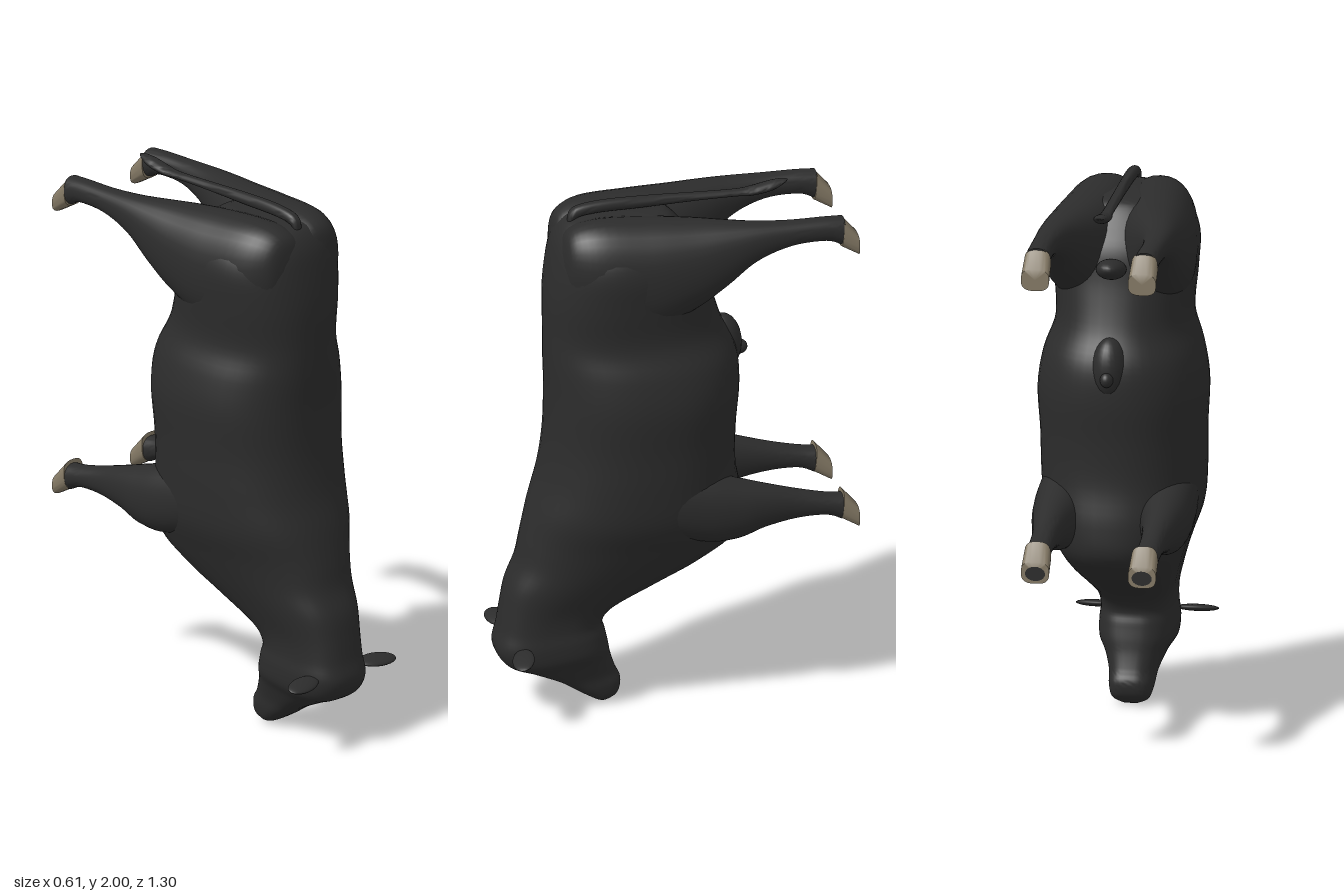
import * as THREE from 'three';
import { toCreasedNormals } from 'three/addons/utils/BufferGeometryUtils.js';

const hide = new THREE.MeshStandardMaterial({ color: 0x2c2c2c });
hide.name = 'black hide';
const horn = new THREE.MeshStandardMaterial({ color: 0x857a66 });
horn.name = 'hoof tan';

// Loft of rounded sections. Each row: [z1, y1, z2, y2, centreX, halfWidth],
// the section spanning the line from point 1 to point 2 and x.
// roundness(y) is 1 for an ellipse and lower for a boxier section.
function loft(rows, roundness, { steps = 5, sides = 32, crease = 0.9 } = {}) {
  const near = (i) => rows[Math.min(rows.length - 1, Math.max(0, i))];
  const rings = [];
  for (let i = 0; i < rows.length - 1; i++) {
    for (let s = 0; s < steps; s++) {
      const t = s / steps;
      rings.push(rows[i].map((b, k) => {
        const a = near(i - 1)[k], c = near(i + 1)[k], d = near(i + 2)[k];
        return b + 0.5 * t * (c - a + t * (2 * a - 5 * b + 4 * c - d + t * (3 * (b - c) + d - a)));
      }));
    }
  }
  rings.push(rows[rows.length - 1]);
  const pos = [], index = [];
  const curve = (v, power) => Math.sign(v) * Math.pow(Math.abs(v), power);
  for (const [z1, y1, z2, y2, cx, hw] of rings) {
    const power = roundness((y1 + y2) / 2);
    for (let j = 0; j < sides; j++) {
      const a = (j / sides) * Math.PI * 2;
      const u = curve(Math.cos(a), power), v = curve(Math.sin(a), power) / 2;
      pos.push(cx + hw * u, (y1 + y2) / 2 + (y1 - y2) * v, (z1 + z2) / 2 + (z1 - z2) * v);
    }
  }
  const n = rings.length;
  for (let i = 0; i < n - 1; i++) {
    for (let j = 0; j < sides; j++) {
      const a = i * sides + j, b = i * sides + (j + 1) % sides;
      index.push(a, b, a + sides, b, b + sides, a + sides);
    }
  }
  // End caps
  for (const [r, flip] of [[0, true], [n - 1, false]]) {
    const [z1, y1, z2, y2, cx] = rings[r];
    const c = pos.length / 3;
    pos.push(cx, (y1 + y2) / 2, (z1 + z2) / 2);
    for (let j = 0; j < sides; j++) {
      const a = r * sides + j, b = r * sides + (j + 1) % sides;
      if (flip) index.push(c, b, a); else index.push(c, a, b);
    }
  }
  const g = new THREE.BufferGeometry();
  g.setAttribute('position', new THREE.Float32BufferAttribute(pos, 3));
  g.setIndex(index);
  return toCreasedNormals(g, crease);
}

// Limb rows are [z, lowY, highY, innerX, outerX, lowZOffset], mirrored by side
const limb = (rows, side) => rows.map(([z, lo, hi, xi, xo, dz = 0]) =>
  [z + dz, lo, z, hi, side * (xi + xo) / 2, (xo - xi) / 2]);

export function createModel() {
  const model = new THREE.Group();
  const add = (name, geometry, material = hide) => {
    const m = new THREE.Mesh(geometry, material);
    m.name = name;
    model.add(m);
    return m;
  };
  const blob = (name, p, s) => {
    const m = add(name, new THREE.SphereGeometry(1, 24, 16));
    m.position.set(...p);
    m.scale.set(...s);
    return m;
  };

  // Trunk, neck and head, from rump to muzzle; the head and neck are boxier
  add('bodyAndHead', loft([
    [0.33, 1.945, 0.04, 1.945, 0, 0.09],
    [0.385, 1.927, 0, 1.927, 0, 0.16],
    [0.425, 1.87, -0.05, 1.87, 0, 0.228],
    [0.447, 1.78, -0.11, 1.78, 0, 0.262],
    [0.463, 1.65, -0.14, 1.65, 0, 0.256],
    [0.463, 1.5, -0.185, 1.5, 0, 0.246],
    [0.46, 1.38, -0.238, 1.38, 0, 0.285],
    [0.455, 1.25, -0.248, 1.25, 0, 0.306],
    [0.46, 1.08, -0.235, 1.08, 0, 0.298],
    [0.482, 0.93, -0.235, 0.93, 0, 0.295],
    [0.52, 0.8, -0.26, 0.78, 0, 0.282],
    [0.55, 0.68, -0.25, 0.66, 0, 0.238],
    [0.57, 0.59, -0.13, 0.57, 0, 0.203],
    [0.607, 0.5, 0.03, 0.49, 0, 0.17],
    [0.625, 0.41, 0.2, 0.405, 0, 0.141],
    [0.638, 0.33, 0.255, 0.345, 0, 0.134],
    [0.652, 0.255, 0.247, 0.295, 0, 0.14],
    [0.615, 0.19, 0.235, 0.24, 0, 0.135],
    [0.53, 0.15, 0.225, 0.19, 0, 0.108],
    [0.42, 0.097, 0.206, 0.13, 0, 0.086],
    [0.34, 0.045, 0.188, 0.09, 0, 0.08],
    [0.28, 0.01, 0.195, 0.045, 0, 0.066],
    [0.25, 0.002, 0.22, 0.018, 0, 0.03],
  ], (y) => 0.72 + 0.15 * THREE.MathUtils.smoothstep(y, 0.35, 0.75), { sides: 48 }));

  for (const side of [1, -1]) {
    const label = side > 0 ? 'left' : 'right';

    // Hind leg with haunch
    add(label + 'HindLeg', loft(limb([
      [0.42, 1.74, 1.85, 0.04, 0.12],
      [0.395, 1.66, 1.925, -0.01, 0.18],
      [0.3, 1.57, 1.961, -0.035, 0.236],
      [0.12, 1.53, 1.958, -0.03, 0.266],
      [-0.04, 1.6, 1.948, 0.015, 0.27],
      [-0.16, 1.69, 1.94, 0.075, 0.264],
      [-0.27, 1.783, 1.932, 0.126, 0.254],
      [-0.4, 1.832, 1.925, 0.153, 0.245],
      [-0.53, 1.836, 1.922, 0.155, 0.242],
      [-0.598, 1.812, 1.918, 0.15, 0.243, 0.01],
    ], side), () => 0.88));

    // Front leg with shoulder
    add(label + 'FrontLeg', loft(limb([
      [0.2, 0.83, 0.96, 0.16, 0.24],
      [0.08, 0.74, 0.985, 0.11, 0.28],
      [-0.08, 0.685, 0.95, 0.1, 0.291],
      [-0.2, 0.685, 0.913, 0.11, 0.284],
      [-0.3, 0.717, 0.882, 0.135, 0.267],
      [-0.42, 0.735, 0.845, 0.152, 0.246],
      [-0.53, 0.734, 0.816, 0.155, 0.242],
      [-0.598, 0.71, 0.807, 0.15, 0.243, 0.01],
    ], side), () => 0.92));

    // Hooves
    for (const [name, y] of [['Hind', 1.79], ['Front', 0.697]]) {
      add(label + name + 'Hoof', loft(limb([
        [-0.594, y + 0.02, y + 0.125, 0.147, 0.244, 0.01],
        [-0.648, y - 0.018, y + 0.062, 0.144, 0.247],
      ], side), () => 0.7, { steps: 1, crease: 0.8 }), horn);
    }

    // Dark sole patch of the front hoof
    const sole = add(label + 'FrontSole', new THREE.CircleGeometry(0.037, 20));
    sole.position.set(side * 0.195, 0.716, -0.65);
    sole.scale.y = 0.72;
    sole.rotation.y = Math.PI;

    // Flat leaf-shaped ear
    const ear = blob(label + 'Ear', [side * 0.185, 0.276, 0.59], [0.078, 0.013, 0.041]);
    ear.rotation.set(0.25, side * -0.2, 0);
  }

  // Tail with tuft
  add('tail', loft([
    [0.375, 1.88, 0.38, 1.91, 0, 0.012],
    [0.35, 1.935, 0.365, 1.975, 0, 0.02],
    [0.27, 1.95, 0.27, 1.996, 0, 0.022],
    [0.1, 1.95, 0.1, 1.995, 0, 0.02],
    [-0.1, 1.953, -0.1, 1.984, 0, 0.02],
    [-0.25, 1.952, -0.25, 1.977, 0, 0.021],
    [-0.31, 1.95, -0.31, 1.981, 0, 0.028],
    [-0.38, 1.96, -0.38, 1.994, 0, 0.028],
    [-0.425, 1.982, -0.425, 1.997, 0, 0.018],
    [-0.442, 1.992, -0.442, 1.996, 0, 0.004],
  ], () => 1, { sides: 16 }));

  // Underside details
  blob('groinPouch', [0, 1.733, -0.165], [0.055, 0.038, 0.09]).rotation.x = 0.22;
  blob('bellySheath', [0, 1.37, -0.195], [0.065, 0.115, 0.075]);
  blob('sheathTip', [0, 1.345, -0.262], [0.024, 0.028, 0.03]);

  return model;
}
